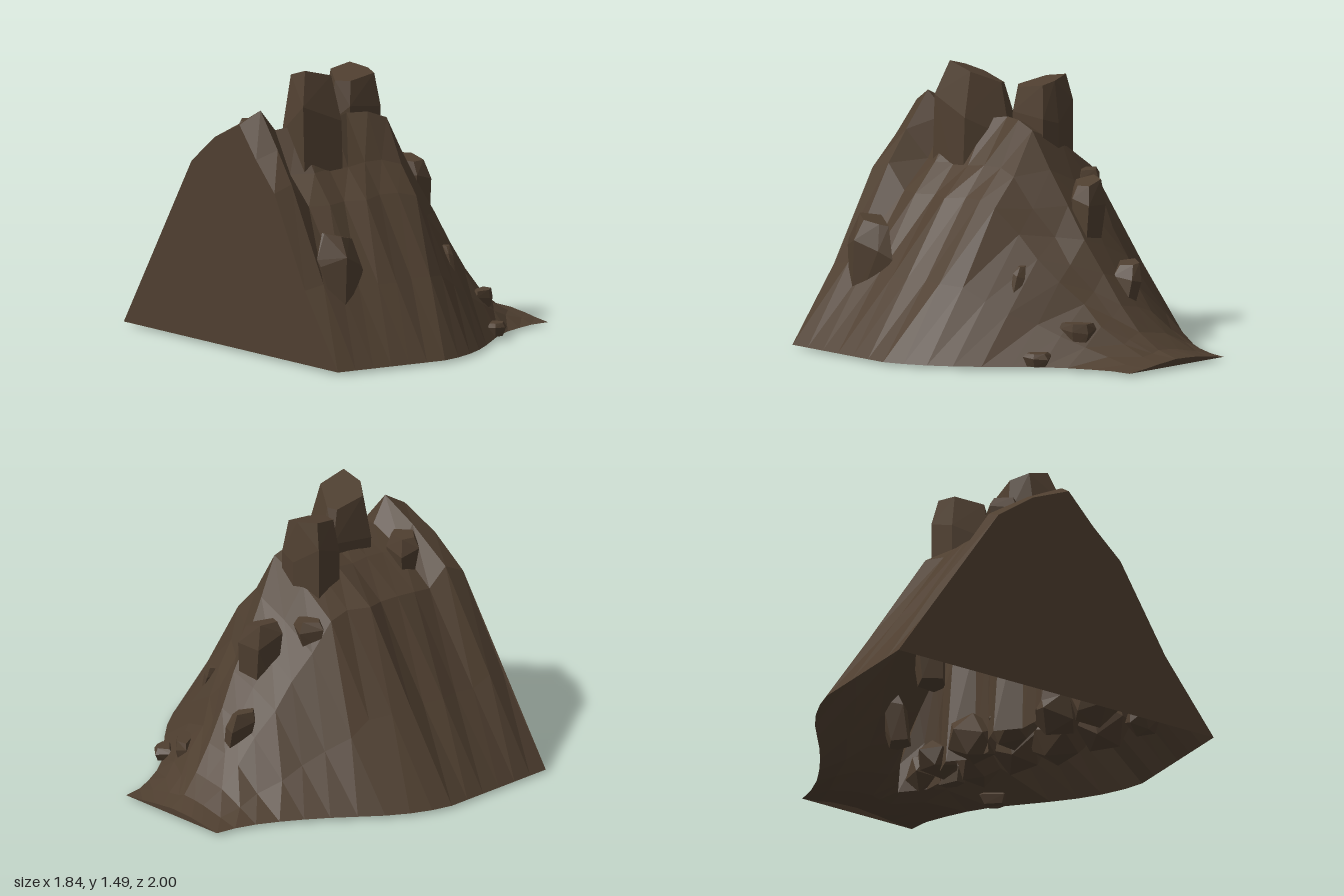
import * as THREE from 'three';
import { ConvexGeometry } from 'three/addons/geometries/ConvexGeometry.js';

const brown = new THREE.MeshStandardMaterial({ color: 0x4f3f30, flatShading: true, side: THREE.DoubleSide });
brown.name = 'brown rock';

// Slope outlines, one value per column along x
const ridgeY = [1.22, 1.29, 1.17, 1.19, 1.2, 1.2, 1.22, 1.22, 1.18, 0.98, 0.8, 0.63, 0.46, 0.3, 0.17, 0.085, 0.05];
const ridgeZ = [0.08, 0.11, 0.08, 0.12, 0.1, 0.12, 0.08, 0.11, 0.12, 0.1, 0.08, 0.07, 0.04, 0.02, 0, -0.03, -0.05];
const frontZ = [1, 1, 1, 1, 1, 1, 1, 0.96, 0.9, 0.82, 0.72, 0.61, 0.5, 0.42, 0.36, 0.31, 0.295];
const backZ = [1, 1, 1, 1, 1, 1, 1, 0.97, 0.92, 0.85, 0.76, 0.67, 0.59, 0.52, 0.46, 0.42, 0.4];
// The far left of the front slope bulges outward
const bulge = [0.06, 0.05, 0.01];
// [share of the way from ridge to foot, share of ridge height]
const backSlope = [[1, 0], [0.71, 0.38], [0.41, 0.79], [0.2, 0.92]];
const frontSlope = [[0.17, 0.8], [0.34, 0.67], [0.67, 0.33], [1, 0]];
const BASE = 0.015;
const columnX = (i) => -0.92 + i * 0.115;

function hillSection(i) {
  const point = (foot, swell) => ([t, h], k) => {
    const wobble = h > 0 ? 0.015 * Math.sin(i * 2.4 + k * 1.7) : 0;
    const lift = h > 0.5 ? swell : 0;
    return [columnX(i), BASE + (ridgeY[i] - BASE) * (h + lift), ridgeZ[i] + (foot - ridgeZ[i]) * t + wobble];
  };
  return [
    ...backSlope.map(point(-backZ[i], 0)),
    [columnX(i), ridgeY[i], ridgeZ[i]],
    ...frontSlope.map(point(frontZ[i], bulge[i] || 0)),
  ];
}

// Pleated, nearly upright wall from the ground up to the ridge
function wallSection(i) {
  const pleat = i === 0 ? 0 : [0.06, -0.05, -0.01, 0.07][i % 4];
  const foot = 0.03 + pleat;
  return [0, 0.6, 1].map((t) => [
    columnX(i),
    BASE + (ridgeY[i] - BASE) * t,
    foot + (ridgeZ[i] - foot) * t * t,
  ]);
}

function surface(name, points, index) {
  const geo = new THREE.BufferGeometry();
  geo.setAttribute('position', new THREE.Float32BufferAttribute(points.flat(), 3));
  geo.setIndex(index);
  const flat = geo.toNonIndexed();
  flat.computeVertexNormals();
  const mesh = new THREE.Mesh(flat, brown);
  mesh.name = name;
  return mesh;
}

// Skin stretched over a row of cross-sections
function loft(name, sections) {
  const n = sections[0].length, index = [];
  for (let i = 0; i < sections.length - 1; i++) {
    for (let k = 0; k < n - 1; k++) {
      const a = i * n + k, b = a + 1, c = a + n, d = c + 1;
      index.push(a, b, c, b, d, c);
    }
  }
  return surface(name, sections.flat(), index);
}

// Flat face closing one end of the hill
function endFace(name, section, flip) {
  const index = [];
  for (let k = 1; k < section.length - 1; k++) index.push(0, ...(flip ? [k, k + 1] : [k + 1, k]));
  return surface(name, section, index);
}

// Faceted boulder: plan outline [x, z], tapered to a tilted top and a smaller foot
function boulder(name, outline, y0, y1, { tilt = [0, 0], top = 0.7, foot = 0.7, shoulder = 0.65, lean = [0, 0] } = {}) {
  const cx = outline.reduce((s, p) => s + p[0], 0) / outline.length;
  const cz = outline.reduce((s, p) => s + p[1], 0) / outline.length;
  const points = [];
  [[0, foot], [shoulder, 1], [1, top]].forEach(([t, s]) => {
    outline.forEach(([x, z], k) => {
      const dx = (x - cx) * s, dz = (z - cz) * s;
      const rough = t === shoulder ? 0.1 * (y1 - y0) * Math.sin(k * 2.1) : 0;
      const y = y0 + (y1 - y0) * t + rough + t * (tilt[0] * dx + tilt[1] * dz);
      points.push(new THREE.Vector3(cx + dx + lean[0] * (1 - t), y, cz + dz + lean[1] * (1 - t)));
    });
  });
  const mesh = new THREE.Mesh(new ConvexGeometry(points), brown);
  mesh.name = name;
  return mesh;
}

// Rough tumbled stone resting on the ground
function looseRock(name, x, z, r, turn) {
  const geo = new THREE.IcosahedronGeometry(r, 0);
  geo.scale(1, 0.8, 0.95).rotateX(turn * 1.3).rotateZ(turn * 0.7).rotateY(turn * 2.1);
  geo.computeBoundingBox();
  geo.translate(x, -geo.boundingBox.min.y, z);
  const mesh = new THREE.Mesh(geo, brown);
  mesh.name = name;
  return mesh;
}

export function createModel() {
  const group = new THREE.Group();
  group.name = 'rockyHill';

  const hill = ridgeY.map((_, i) => hillSection(i));
  group.add(
    loft('hillside', hill),
    endFace('cliffFace', hill[0], false),
    endFace('toeFace', hill[hill.length - 1], true),
    loft('innerWall', ridgeY.slice(0, 14).map((_, i) => wallSection(i))),
  );

  // Twin crags on the crest
  group.add(
    boulder('tallCrag', [[-0.54, -0.07], [-0.29, -0.04], [-0.25, 0.03], [-0.38, 0.24], [-0.62, 0.23], [-0.63, 0.05]],
      0.75, 1.43, { tilt: [-0.25, 0.3], top: 0.68, foot: 1, lean: [0, 0.03] }),
    boulder('backCrag', [[-0.19, -0.18], [-0.02, -0.2], [0.025, -0.05], [0.01, 0.05], [-0.2, 0.07], [-0.28, 0]],
      0.9, 1.41, { tilt: [0.15, -0.2], top: 0.78, foot: 1 }),
  );

  // Boulders bedded in the slopes
  group.add(
    boulder('crestBoulder', [[-0.78, -0.16], [-0.69, -0.27], [-0.59, -0.24], [-0.61, -0.1], [-0.69, -0.05]], 0.98, 1.19),
    boulder('rearBoulder', [[0, -0.25], [0.06, -0.32], [0.15, -0.23], [0.1, -0.13], [0.03, -0.19]], 0.8, 0.94),
    boulder('shoulderBoulder', [[0.13, -0.04], [0.2, -0.16], [0.33, -0.11], [0.345, 0.03], [0.24, 0.05]], 0.52, 0.92,
      { tilt: [0, -0.25], foot: 0.8, shoulder: 0.75, lean: [0, 0.03] }),
    boulder('lowerBoulder', [[0.37, -0.14], [0.45, -0.22], [0.56, -0.16], [0.55, -0.1], [0.45, -0.06]], 0.24, 0.5,
      { tilt: [0, -0.2], foot: 0.8, shoulder: 0.7, lean: [0, 0.06] }),
    boulder('frontBoulder', [[-0.82, 0.64], [-0.72, 0.5], [-0.51, 0.62], [-0.57, 0.67], [-0.69, 0.73], [-0.81, 0.66]],
      0.29, 0.68, { tilt: [-0.25, 0], foot: 0.4, top: 0.65, shoulder: 0.65, lean: [-0.02, 0.09] }),
    boulder('smallStone', [[0.17, 0.38], [0.2, 0.35], [0.23, 0.38], [0.21, 0.42], [0.18, 0.42]], 0.37, 0.51, { lean: [0, 0.05] }),
    boulder('footStone', [[0.43, 0.27], [0.57, 0.2], [0.58, 0.27], [0.52, 0.33], [0.43, 0.34]], 0.11, 0.23, { top: 0.85 }),
    boulder('edgeStone', [[0.37, 0.52], [0.46, 0.42], [0.51, 0.5], [0.46, 0.56], [0.39, 0.57]], 0.02, 0.09),
  );

  // Loose rocks in the hollow under the hill: x, z, radius
  const hollow = [[-0.78, 0.64, 0.1], [-0.72, 0.38, 0.17], [-0.52, 0.56, 0.17], [-0.5, 0.28, 0.17], [-0.26, 0.46, 0.18],
    [-0.26, 0.16, 0.17], [-0.02, 0.36, 0.17], [0, 0.08, 0.16], [0.2, 0.24, 0.15], [0.28, 0.04, 0.13], [0.48, 0.08, 0.12]];
  hollow.forEach(([x, z, r], i) => group.add(looseRock('hollowRock' + (i + 1), x, z, r, i + 0.5)));
  return group;
}
